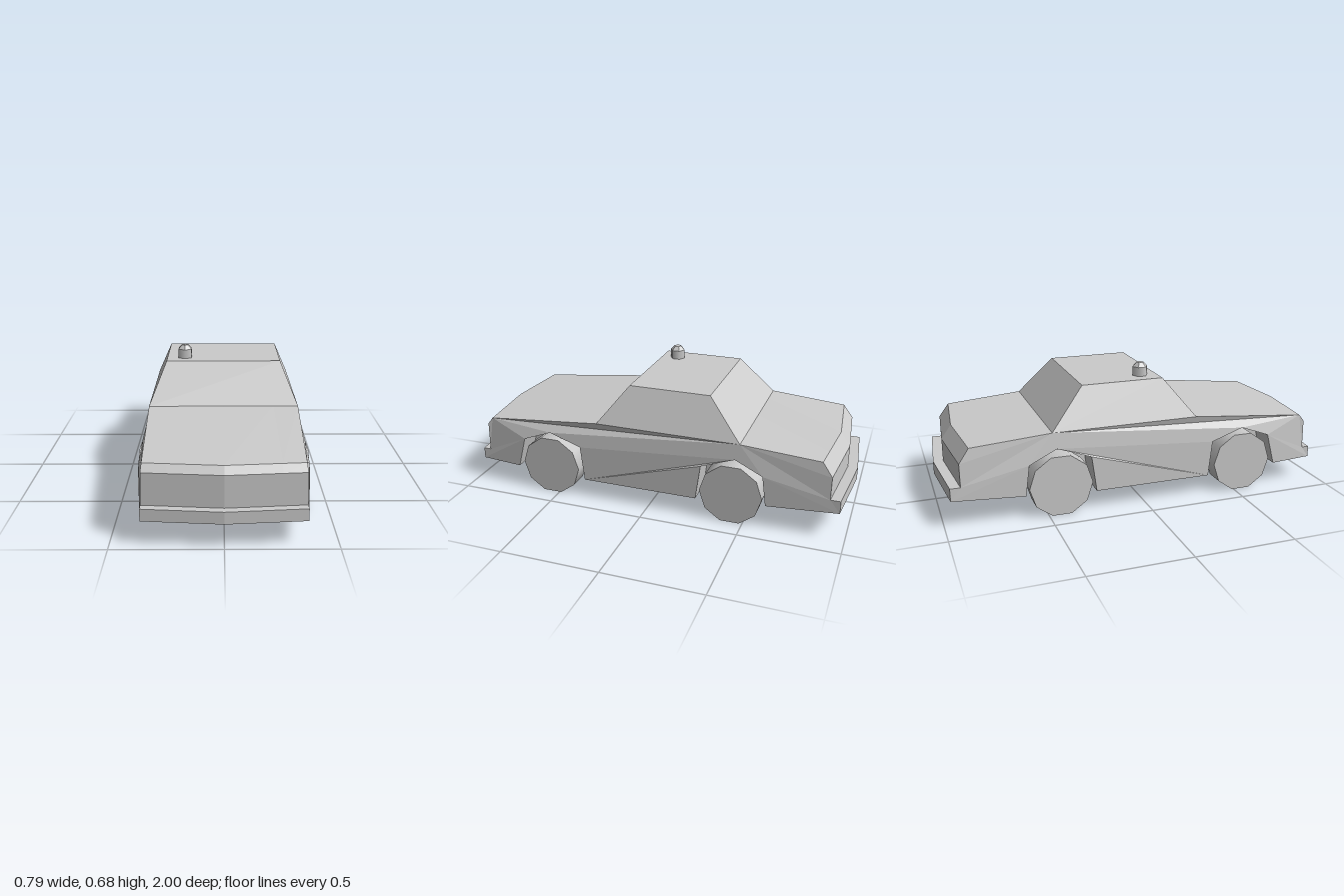
import * as THREE from 'three';

const material = new THREE.MeshStandardMaterial({ color: 0xcccccc, flatShading: true });
const smooth = new THREE.MeshStandardMaterial({ color: 0xcccccc });

// Upper outline of the body from nose to tail, as [z, y] on the centre line
const outline = [
  [0.735, 0.115], [0.997, 0.115], [0.997, 0.172], [0.957, 0.172], [0.957, 0.322], [0.93, 0.357],
  [0.28, 0.42], [-0.47, 0.42],
  [-0.9, 0.39], [-0.95, 0.32], [-0.95, 0.205], [-1, 0.205], [-1, 0.14], [-0.61, 0.12],
];
const rearArch = [[-0.59, 0.275], [-0.45, 0.34], [-0.28, 0.28]];
const frontArch = [[0.37, 0.28], [0.54, 0.335], [0.69, 0.28]];
const sill = [[-0.255, 0.097], [0.35, 0.097]];
const WELL = 0.25; // x of the inner wall of the wheel wells

function add(parent, name, geometry, mat = material) {
  const mesh = new THREE.Mesh(geometry, mat);
  mesh.name = name;
  parent.add(mesh);
  return mesh;
}

// Extrude a [z, y] profile across the car from x0 to x1
function extrudeAcross(points, x0, x1, steps = 1) {
  const shape = new THREE.Shape(points.map(([z, y]) => new THREE.Vector2(z, y)));
  const geometry = new THREE.ExtrudeGeometry(shape, { depth: x1 - x0, steps, bevelEnabled: false });
  return geometry.rotateY(-Math.PI / 2).translate(x1, 0, 0);
}

// Half width of the body: leans in above the crease, narrows to nose and tail
function halfWidth(y, z) {
  const lean = 0.39 - 0.11 * Math.max(0, y - 0.28);
  const nose = THREE.MathUtils.clamp((z - 0.72) / 0.21, 0, 1) * 0.068;
  const tail = THREE.MathUtils.clamp((-0.61 - z) / 0.29, 0, 1) * 0.025;
  return lean * (1 - nose - tail);
}

// Shape the flanks and sweep the nose and tail back into a shallow V
function shapeBody(geometry) {
  const p = geometry.attributes.position;
  for (let i = 0; i < p.count; i++) {
    let x = p.getX(i);
    const y = p.getY(i), z = p.getZ(i);
    if (Math.abs(x) > 0.3) x = Math.sign(x) * halfWidth(y, z);
    const sweep = Math.abs(z) > 0.85 ? (Math.sign(z) * 0.033 * Math.abs(x)) / 0.365 : 0;
    p.setXYZ(i, x, y, z - sweep);
  }
  geometry.computeVertexNormals();
  return geometry;
}

export function createModel() {
  const car = new THREE.Group();
  car.name = 'car';

  // Body: a solid middle and two flanks with wheel arches
  const body = new THREE.Group();
  body.name = 'body';
  car.add(body);
  add(body, 'bodyCentre', shapeBody(extrudeAcross([...outline, ...sill], -WELL, WELL, 2)));
  const flank = [...outline, ...rearArch, ...sill, ...frontArch];
  add(body, 'leftFlank', shapeBody(extrudeAcross(flank, WELL, 0.39)));
  add(body, 'rightFlank', shapeBody(extrudeAcross(flank, -0.39, -WELL)));

  // Cabin: a box tapered towards the roof
  const cabin = new THREE.BoxGeometry(2, 2, 2);
  const p = cabin.attributes.position;
  for (let i = 0; i < p.count; i++) {
    const top = p.getY(i) > 0, front = p.getZ(i) > 0;
    const z = top ? (front ? 0.125 : -0.295) : (front ? 0.28 : -0.47);
    p.setXYZ(i, p.getX(i) * (top ? 0.292 : 0.3746), top ? 0.617 : 0.42, z);
  }
  cabin.computeVertexNormals();
  add(car, 'cabin', cabin);

  // Ten-sided wheels
  const wheel = new THREE.CylinderGeometry(0.159, 0.159, 0.104, 10).rotateZ(Math.PI / 2);
  for (const [end, z] of [['front', 0.54], ['rear', -0.435]]) {
    for (const [side, x] of [['Left', 0.343], ['Right', -0.343]]) {
      add(car, `${end}${side}Wheel`, wheel, smooth).position.set(x, 0.151, z);
    }
  }

  // Roof beacon
  const beacon = new THREE.Group();
  beacon.name = 'beacon';
  beacon.position.set(-0.2, 0.617, 0.038);
  car.add(beacon);
  add(beacon, 'beaconBase', new THREE.CylinderGeometry(0.039, 0.039, 0.046, 6, 1, true), smooth).position.y = 0.023;
  add(beacon, 'beaconCap', new THREE.CylinderGeometry(0.019, 0.039, 0.021, 6)).position.y = 0.0565;

  // Exhaust under the tail
  const pipe = [[-0.7, 0.125], [-0.81, 0.08], [-0.95, 0.075], [-0.95, 0.138]];
  add(car, 'exhaust', extrudeAcross(pipe.reverse(), 0.2, 0.258));

  return car;
}
